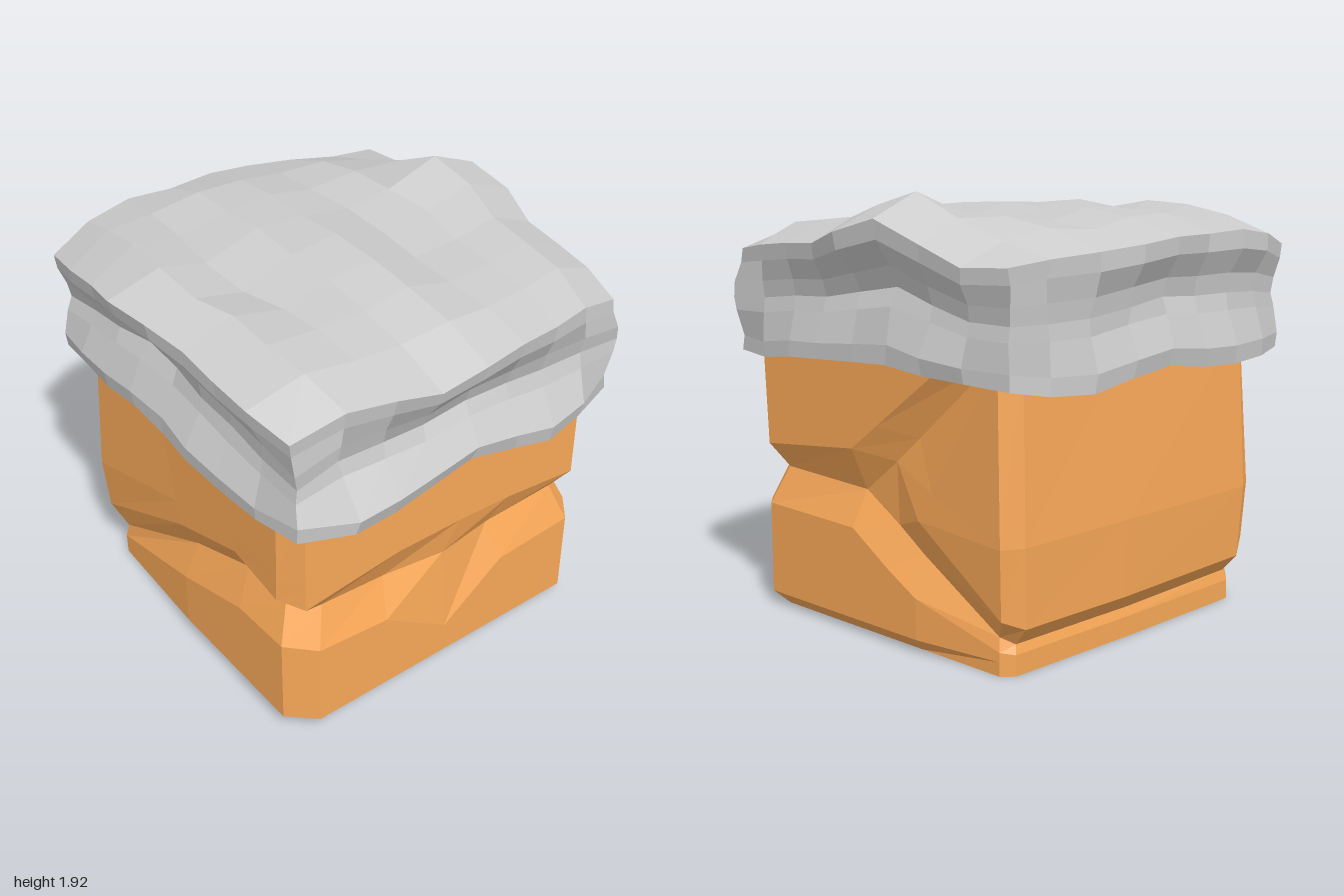
import * as THREE from 'three';

function part(name, geometry, color, flatShading = true) {
  const mesh = new THREE.Mesh(geometry, new THREE.MeshStandardMaterial({ color, flatShading }));
  mesh.name = name;
  return mesh;
}

// Linear lookup in an evenly spaced table, u from -1 to 1
function lookup(table, u) {
  const f = (u + 1) / 2 * (table.length - 1);
  const i = Math.min(Math.floor(f), table.length - 2);
  return THREE.MathUtils.lerp(table[i], table[i + 1], f - i);
}

// Repeatable small unevenness
function rough(a, b, c) {
  const s = Math.sin(a * 12.9 + b * 78.2 + c * 37.7) * 4375.5;
  return (s - Math.floor(s) - 0.5) * 2;
}

// Soil block: stacked rings, with a groove that runs around it and slopes to the back
function soilGeometry() {
  // x, z, lower lip, groove, upper lip, groove depth, x above groove, z at top
  const columns = [
    [-0.72, 0.82, 0.47, 0.65, 0.74, 0.07, -0.79, 0.82],
    [-0.36, 0.82, 0.44, 0.62, 0.80, 0.08, -0.30, 0.82],
    [-0.02, 0.82, 0.21, 0.62, 0.80, 0.04, 0.04, 0.82],
    [0.30, 0.82, 0.44, 0.62, 0.79, 0.08, 0.32, 0.82],
    [0.71, 0.82, 0.47, 0.65, 0.75, 0.07, 0.71, 0.82],
    [0.80, 0.71, 0.48, 0.65, 0.76, 0.07, 0.80, 0.74],
    [0.80, 0.13, 0.47, 0.63, 0.82, 0.08, 0.80, -0.53],
    [0.80, -0.10, 0.33, 0.51, 0.79, 0.08, 0.74, -0.71],
    [0.80, -0.27, 0.24, 0.41, 0.57, 0.08, 0.78, -0.73],
    [0.80, -0.76, 0.10, 0.16, 0.25, 0.07, 0.79, -0.74],
    [0.75, -0.81, 0.09, 0.13, 0.21, 0.07, 0.70, -0.79],
    [0.00, -0.82, 0.09, 0.13, 0.21, 0.07, 0.10, -0.79],
    [-0.78, -0.81, 0.09, 0.14, 0.22, 0.07, -0.72, -0.79],
    [-0.84, -0.76, 0.10, 0.17, 0.29, 0.07, -0.82, -0.72],
    [-0.84, -0.05, 0.33, 0.49, 0.64, 0.08, -0.84, -0.20],
    [-0.84, 0.40, 0.47, 0.64, 0.80, 0.08, -0.85, 0.35],
    [-0.84, 0.71, 0.48, 0.65, 0.76, 0.07, -0.86, 0.73],
  ];
  const rows = 7, n = columns.length, points = [], index = [];
  for (let r = 0; r < rows; r++) {
    columns.forEach(([x, z, low, groove, up, depth, tx, tz]) => {
      const atBack = z < -0.7;
      const mid = atBack ? 0.55 : Math.max(0.7, up + 0.12);
      const t = [0, 0, 0, 0, 0, (mid - up) / (1.3 - up), 1][r];
      const foot = atBack ? 0.93 : 1;
      const k = [0.93, foot, foot, 1 - depth / 0.82, 1, atBack ? 1.025 : 1, 1][r];
      const y = [0, 0.06, low, groove, up, mid, 1.3][r];
      points.push((r < 4 ? x : tx) * k, y, THREE.MathUtils.lerp(z, tz, t) * k);
    });
  }
  for (let r = 0; r < rows - 1; r++) {
    for (let i = 0; i < n; i++) {
      const j = (i + 1) % n, a = r * n, b = a + n;
      index.push(a + i, a + j, b + j, a + i, b + j, b + i);
    }
  }
  // Flat bottom and top
  const c = rows * n, last = c - n;
  points.push(0, 0, 0, 0, 1.3, 0);
  for (let i = 0; i < n; i++) {
    const j = (i + 1) % n;
    index.push(c, j, i, c + 1, last + i, last + j);
  }
  const g = new THREE.BufferGeometry();
  g.setAttribute('position', new THREE.Float32BufferAttribute(points, 3));
  g.setIndex(index);
  g.computeVertexNormals();
  return g;
}

// One shared normal per four-sided facet (two triangles, six corners)
function facetNormals(geometry) {
  const g = geometry.toNonIndexed();
  g.computeVertexNormals();
  const normals = g.attributes.normal, a = new THREE.Vector3(), b = new THREE.Vector3();
  for (let i = 0; i < normals.count; i += 6) {
    a.fromBufferAttribute(normals, i).add(b.fromBufferAttribute(normals, i + 3)).normalize();
    for (let j = i; j < i + 6; j++) normals.setXYZ(j, a.x, a.y, a.z);
  }
  return g;
}

// Cap: a subdivided box pushed into a wavy slab with a pinched waist
function capGeometry() {
  // Outlines of the brow and the hem, left to right or back to front
  const brow = {
    right: [0.87, 0.91, 0.93, 0.96, 0.99, 0.93, 0.90, 0.87, 0.82],
    left: [0.90, 0.94, 0.96, 1.0, 0.97, 0.92, 0.92, 0.91, 0.87],
    front: [0.84, 0.90, 0.93, 0.95, 0.96, 0.95, 0.93, 0.89, 0.85],
    back: [0.88, 0.97, 1.0, 0.98, 0.99, 0.99, 0.95, 0.88, 0.88],
  };
  const hem = {
    right: [0.85, 0.89, 0.91, 0.90, 0.89, 0.91, 0.90, 0.87, 0.82],
    left: [0.89, 0.92, 0.93, 0.93, 0.93, 0.95, 0.95, 0.92, 0.87],
    front: [0.88, 0.99, 0.97, 0.94, 0.93, 0.95, 0.97, 0.92, 0.85],
    back: [0.88, 0.96, 0.98, 0.99, 0.98, 0.96, 0.93, 0.88, 0.86],
  };
  const hemFront = [1.19, 1.18, 1.17, 1.18, 1.21, 1.18, 1.14, 1.15, 1.18];
  const hemSide = [1.19, 1.20, 1.21, 1.23, 1.22, 1.21, 1.20, 1.17, 1.18];
  // Top heights: each row runs left to right, rows from back to front
  const heights = [
    [1.66, 1.72, 1.75, 1.74, 1.74, 1.72, 1.70, 1.68, 1.66],
    [1.70, 1.79, 1.78, 1.82, 1.81, 1.77, 1.78, 1.74, 1.65],
    [1.74, 1.83, 1.78, 1.83, 1.84, 1.79, 1.82, 1.82, 1.73],
    [1.78, 1.84, 1.77, 1.86, 1.83, 1.79, 1.82, 1.92, 1.82],
    [1.77, 1.80, 1.74, 1.84, 1.85, 1.77, 1.80, 1.86, 1.76],
    [1.73, 1.81, 1.76, 1.82, 1.84, 1.76, 1.77, 1.80, 1.70],
    [1.70, 1.80, 1.78, 1.79, 1.82, 1.76, 1.77, 1.78, 1.69],
    [1.68, 1.78, 1.76, 1.75, 1.77, 1.75, 1.75, 1.76, 1.67],
    [1.63, 1.71, 1.69, 1.65, 1.68, 1.70, 1.70, 1.69, 1.64],
  ];
  const flare = [0.85, 1, 0.1, -0.2, 0.1, 0.85, 1];
  const backFlare = [0.9, 1, 0.6, 0.45, 0.55, 0.95, 1];
  const level = [0, 0.14, 0.4, 0.53, 0.68, 0.86, 1];
  const g = new THREE.BoxGeometry(2, 6, 2, 8, 6, 8);
  const p = g.attributes.position;
  for (let i = 0; i < p.count; i++) {
    const s = p.getX(i), t = p.getZ(i), k = Math.round(p.getY(i) + 3);
    const outline = k < 3 ? hem : brow;
    const reach = (side, u) =>
      0.86 + (lookup(outline[side], u) - 0.86) * (side === 'back' ? backFlare : flare)[k];
    const S = Math.round(s * 4), T = Math.round(t * 4);
    const top = heights[T + 4][S + 4];
    const bottom = Math.abs(t) > Math.abs(s) ? lookup(hemFront, s) : lookup(hemSide, t);
    p.setXYZ(i,
      s * reach(s > 0 ? 'right' : 'left', t) + 0.008 * rough(S, T, k),
      bottom + (top - bottom) * level[k],
      t * reach(t > 0 ? 'front' : 'back', s) + 0.008 * rough(S, T, k + 20));
  }
  return facetNormals(g);
}

export function createModel() {
  const model = new THREE.Group();
  model.name = 'cappedBlock';
  model.add(part('soilBlock', soilGeometry(), 0xf8a858));

  // Thin turf layer peeking out just under the cap
  const turf = part('turfLayer', new THREE.BoxGeometry(1.62, 0.08, 1.56), 0x3f8a35);
  turf.position.set(0, 1.255, 0);
  model.add(turf);

  model.add(part('rockCap', capGeometry(), 0xcccccc, false));
  return model;
}
